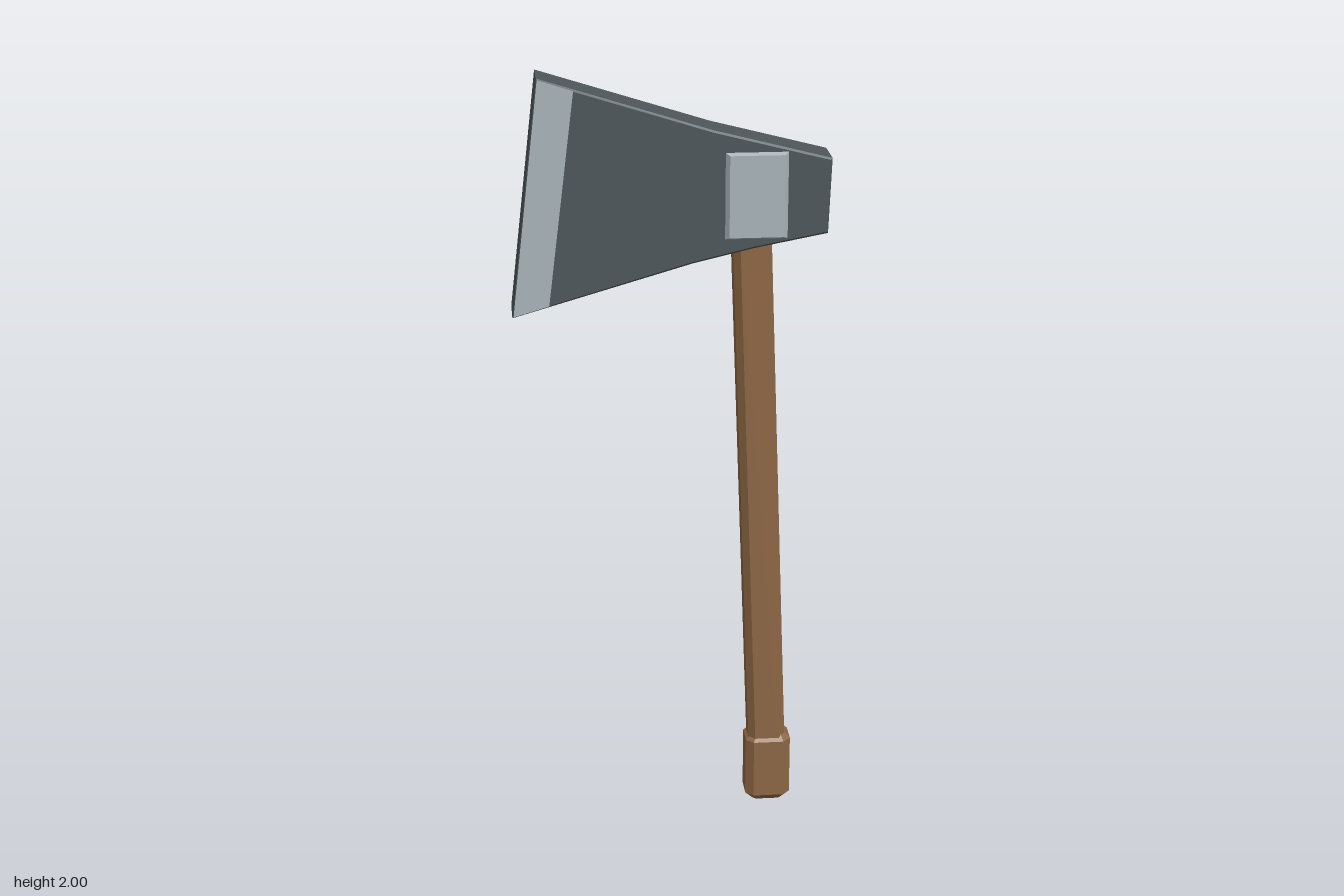
import * as THREE from 'three';

const makeMaterial = (name, color) => {
  const m = new THREE.MeshStandardMaterial({ color });
  m.name = name;
  return m;
};

// Flat outline extruded along z, centred on z = 0, with one straight bevel.
function slab(points, thickness, bevel) {
  const shape = new THREE.Shape(points.map(([x, y]) => new THREE.Vector2(x, y)));
  const depth = thickness - 2 * bevel;
  const geometry = new THREE.ExtrudeGeometry(shape, {
    depth, bevelEnabled: bevel > 0, bevelThickness: bevel,
    bevelSize: bevel, bevelOffset: -bevel, bevelSegments: 1,
  });
  return geometry.translate(0, 0, -depth / 2);
}

// Upright bar with chamfered corners, standing on y = 0.
function chamferedBar(hx, hz, c, height, bevel) {
  const outline = [
    [hx, -hz + c], [hx, hz - c], [hx - c, hz], [-hx + c, hz],
    [-hx, hz - c], [-hx, -hz + c], [-hx + c, -hz], [hx - c, -hz],
  ];
  return slab(outline, height, bevel).rotateX(-Math.PI / 2).translate(0, height / 2, 0);
}

export function createModel() {
  const group = new THREE.Group();
  const iron = makeMaterial('dark iron', 0x4d565a);
  const steel = makeMaterial('bright steel', 0xa9b3b8);
  const wood = makeMaterial('wood', 0x8e6745);

  const add = (name, geometry, material) => {
    const mesh = new THREE.Mesh(geometry, material);
    mesh.name = name;
    group.add(mesh);
    return mesh;
  };

  // Wedge-shaped head, flaring towards the cutting edge
  add('axeHead', slab([
    [-0.4, 1.4], [0.05, 1.53], [0.2, 1.565], [0.387, 1.6],
    [0.394, 1.79], [0.1, 1.865], [-0.33, 2],
  ], 0.116, 0.005), iron);

  // Bright edge strips and raised cheek plates on both faces
  for (const [side, s] of [['front', 1], ['back', -1]]) {
    const strip = add(side + 'EdgeStrip', slab([
      [-0.397, 1.404], [-0.308, 1.43], [-0.241, 1.968], [-0.328, 1.996],
    ], 0.004, 0), steel);
    strip.position.z = s * 0.0575;

    const cheek = add(side + 'CheekPlate', new THREE.BoxGeometry(0.175, 0.23, 0.024), steel);
    // Narrow the outer face to slope the rim
    const p = cheek.geometry.attributes.position;
    for (let i = 0; i < p.count; i++) {
      if (p.getZ(i) * s > 0) p.setXY(i, p.getX(i) * 0.78, p.getY(i) * 0.9);
    }
    cheek.geometry.computeVertexNormals();
    cheek.position.set(0.2075, 1.7, s * 0.058);
  }

  // Leaning handle
  const handle = chamferedBar(0.049, 0.042, 0.017, 1.5, 0);
  handle.applyMatrix4(new THREE.Matrix4().makeShear(0, 0, -0.04, 0, 0, 0));
  const hp = handle.attributes.position;
  for (let i = 0; i < hp.count; i++) {
    const y = hp.getY(i);
    hp.setX(i, THREE.MathUtils.clamp(hp.getX(i), -0.2, 0.2));
    hp.setY(i, y);
  }
  handle.computeVertexNormals();
  add('handle', handle, wood).position.set(0.26, 0.12, 0);

  // Thicker grip end
  add('pommel', chamferedBar(0.06, 0.05, 0.02, 0.205, 0.022), wood).position.set(0.261, 0, 0);

  return group;
}
